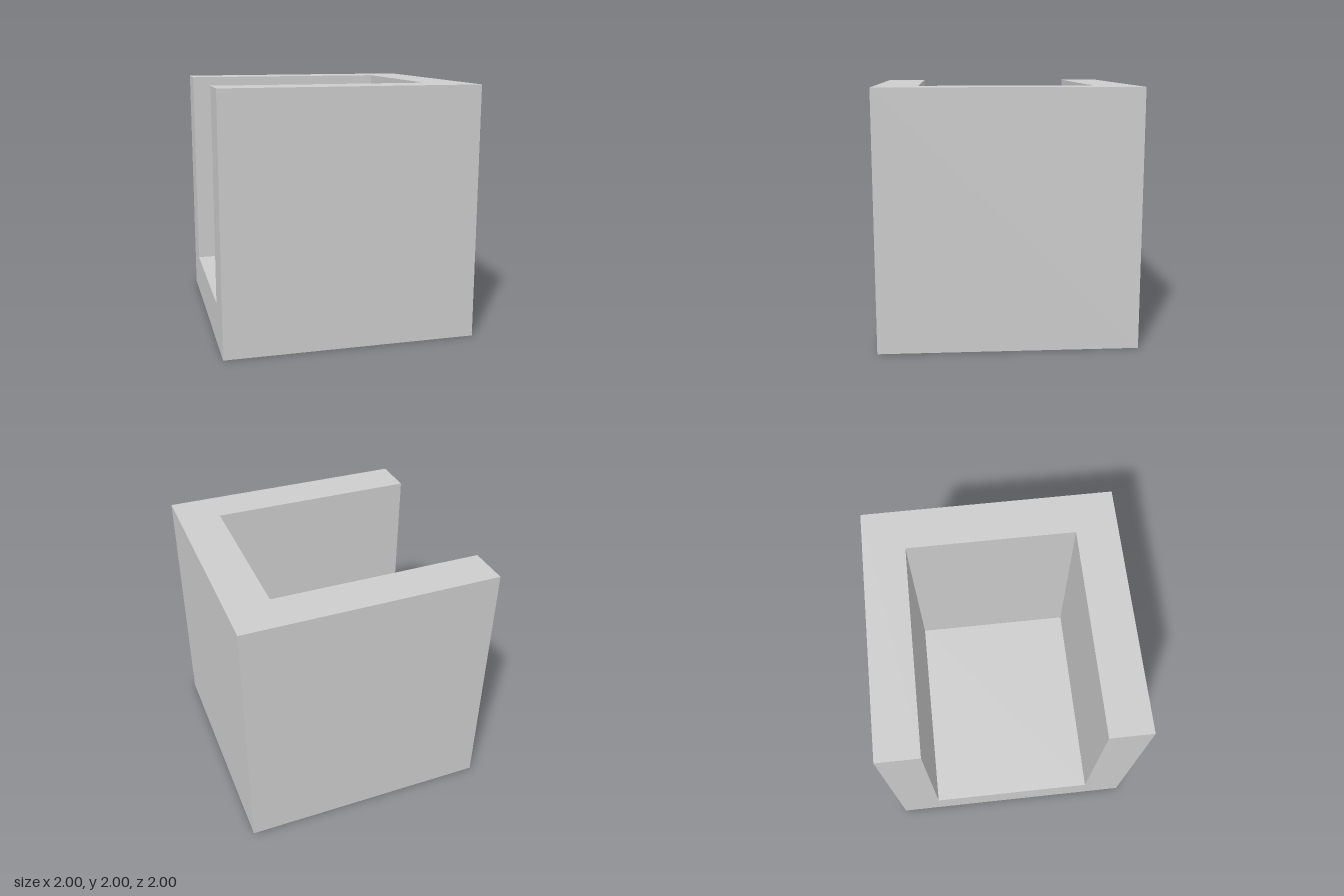
import * as THREE from 'three';

export function createModel() {
  const group = new THREE.Group();
  group.name = 'openBox';
  const grey = new THREE.MeshStandardMaterial({ color: 0xcccccc });
  grey.name = 'grey';

  const size = 2, half = size / 2;
  const wall = size / 6;        // thickness of walls and floor
  const inner = half - wall;    // half width of the cavity

  // C-shaped plan, open towards -x, raised to full height
  const plan = new THREE.Shape([
    [-half, -half], [half, -half], [half, half], [-half, half],
    [-half, inner], [inner, inner], [inner, -inner], [-half, -inner],
  ].map(([x, y]) => new THREE.Vector2(x, y)));
  const wallGeometry = new THREE.ExtrudeGeometry(plan, { depth: size, bevelEnabled: false });
  wallGeometry.rotateX(-Math.PI / 2);
  const walls = new THREE.Mesh(wallGeometry, grey);
  walls.name = 'walls';

  // Floor slab filling the bottom of the cavity
  const floor = new THREE.Mesh(new THREE.BoxGeometry(half + inner, wall, 2 * inner), grey);
  floor.name = 'floor';
  floor.position.set((inner - half) / 2, wall / 2, 0);

  group.add(walls, floor);
  return group;
}
